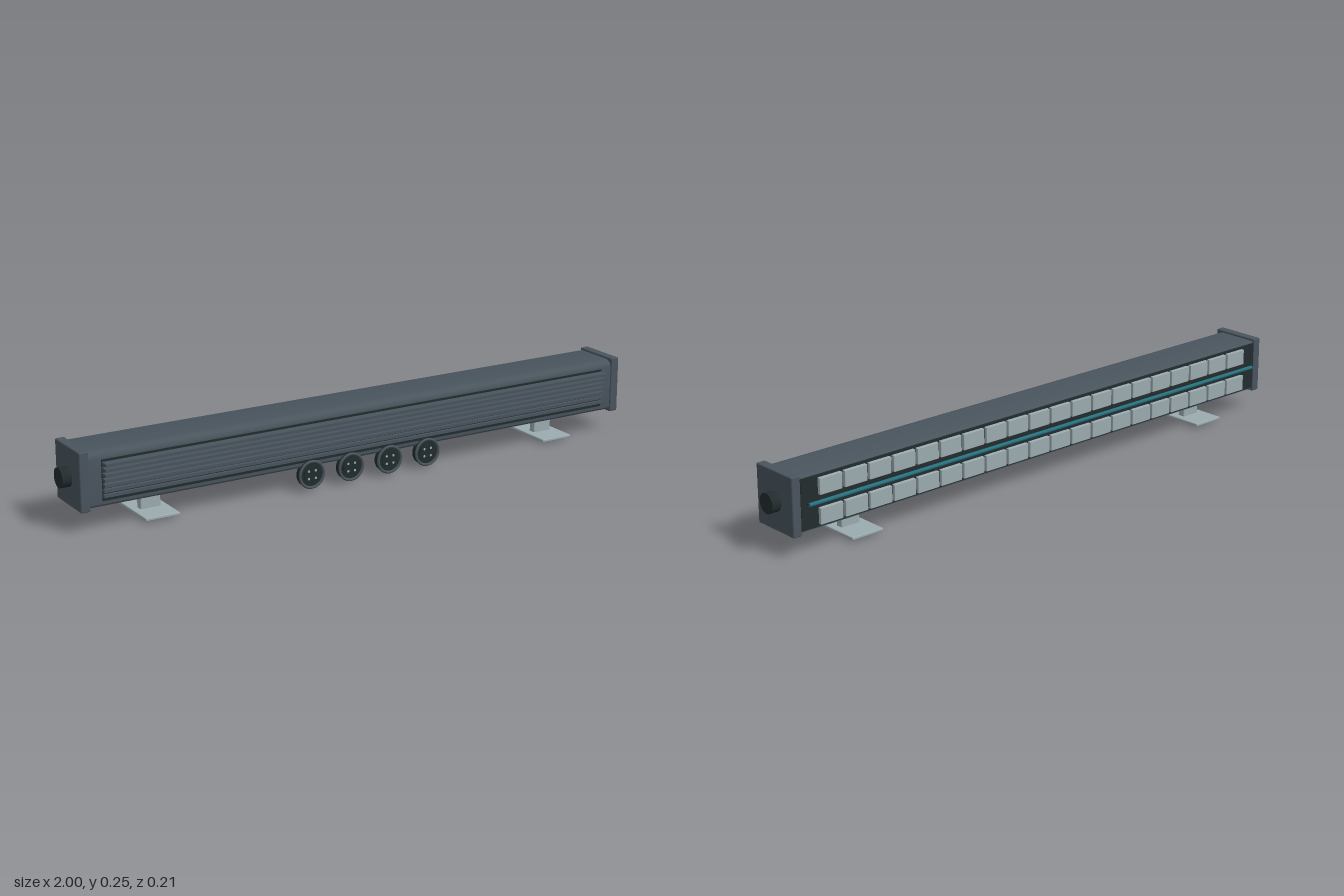
import * as THREE from 'three';
import { toCreasedNormals } from 'three/addons/utils/BufferGeometryUtils.js';
import { RoundedBoxGeometry } from 'three/addons/geometries/RoundedBoxGeometry.js';

export function createModel() {
  const model = new THREE.Group();
  model.name = 'barUnit';
  const mat = (name, color) => {
    const m = new THREE.MeshStandardMaterial({ color });
    m.name = name;
    return m;
  };
  const slate = mat('slate', 0x49545d);
  const dark = mat('darkRubber', 0x222c2d);
  const silver = mat('silver', 0x9babb0);
  const teal = mat('teal', 0x26717f);

  const add = (name, geo, material, x, y, z, parent = model) => {
    const m = new THREE.Mesh(geo, material);
    m.name = name;
    m.position.set(x, y, z);
    parent.add(m);
    return m;
  };
  const box = (w, h, d) => new THREE.BoxGeometry(w, h, d);
  const rbox = (w, h, d, r) => new RoundedBoxGeometry(w, h, d, 2, r);
  // Cylinders lying along x or z
  const cylX = (r, l, n = 32) => new THREE.CylinderGeometry(r, r, l, n).rotateZ(Math.PI / 2);
  const cylZ = (r, l, n = 32) => new THREE.CylinderGeometry(r, r, l, n).rotateX(Math.PI / 2);

  // Housing: long extrusion with a softly rounded upper front edge
  const back = -0.084, front = 0.074, low = 0.073, high = 0.24;
  const s = new THREE.Shape();
  s.moveTo(back, low);
  s.lineTo(front - 0.008, low);
  s.absarc(front - 0.008, low + 0.008, 0.008, -Math.PI / 2, 0);
  s.absarc(front - 0.025, high - 0.025, 0.025, 0, Math.PI / 2);
  s.absarc(back + 0.006, high - 0.006, 0.006, Math.PI / 2, Math.PI);
  s.closePath();
  const housing = new THREE.ExtrudeGeometry(s, { depth: 1.89, bevelEnabled: false, curveSegments: 8 });
  housing.translate(0, 0, -0.945).rotateY(-Math.PI / 2);
  housing.scale(1, 1, 1);
  // rotateY(-90) sends shape x to +z
  add('housing', toCreasedNormals(housing, 0.6), slate, 0, 0, 0);

  // End caps and their round knobs
  for (const side of [-1, 1]) {
    add('endCap', rbox(0.03, 0.182, 0.168, 0.004), slate, side * 0.955, 0.156, -0.006);
    add('endKnob', cylX(0.031, 0.035), dark, side * 0.9825, 0.155, -0.006);
  }

  // Cooling fins, shrinking towards the bottom
  add('finBacking', box(1.8, 0.125, 0.006), dark, 0, 0.153, 0.0745);
  for (let i = 0; i < 7; i++) {
    const tip = 0.107 - i * 0.0034;
    const root = 0.072;
    add('fin', box(1.8, 0.0095, tip - root), slate, 0, 0.2045 - i * 0.0163, (tip + root) / 2);
  }

  // Rear panel with two rows of lens tiles
  add('rearPanel', box(1.88, 0.156, 0.006), dark, 0, 0.156, -0.086);
  const pitch = 0.0885;
  for (let i = 0; i < 20; i++) {
    for (const y of [0.111, 0.201]) {
      add('lensTile', rbox(0.08, 0.051, 0.012, 0.002), silver, (i - 9.5) * pitch, y, -0.094);
    }
  }
  // Light strip between the rows
  add('lightStrip', cylX(0.006, 1.84, 12), teal, 0, 0.156, -0.0995);
  add('stripMount', box(1.84, 0.005, 0.008), dark, 0, 0.156, -0.092);

  // Round connectors under the front edge
  for (const x of [-0.21, -0.07, 0.07, 0.21]) {
    const plug = new THREE.Group();
    plug.name = 'connector';
    plug.position.set(x, 0.051, 0);
    model.add(plug);
    add('connectorBody', cylZ(0.043, 0.018), dark, 0, 0, 0.074, plug);
    add('connectorRim', new THREE.TorusGeometry(0.0415, 0.0045, 8, 32), slate, 0, 0, 0.085, plug);
    add('connectorCore', cylZ(0.028, 0.006), dark, 0, 0, 0.084, plug);
    for (let k = 0; k < 4; k++) {
      const a = Math.PI / 4 + k * Math.PI / 2;
      add('connectorPin', cylZ(0.004, 0.008, 10), silver, 0.017 * Math.cos(a), 0.017 * Math.sin(a), 0.084, plug);
    }
  }

  // Mounting feet
  for (const x of [-0.716, 0.716]) {
    add('footNeck', rbox(0.066, 0.078, 0.026, 0.004), silver, x, 0.039, -0.006);
    add('footPlate', rbox(0.112, 0.01, 0.188, 0.003), silver, x, 0.011, -0.006);
  }
  return model;
}
